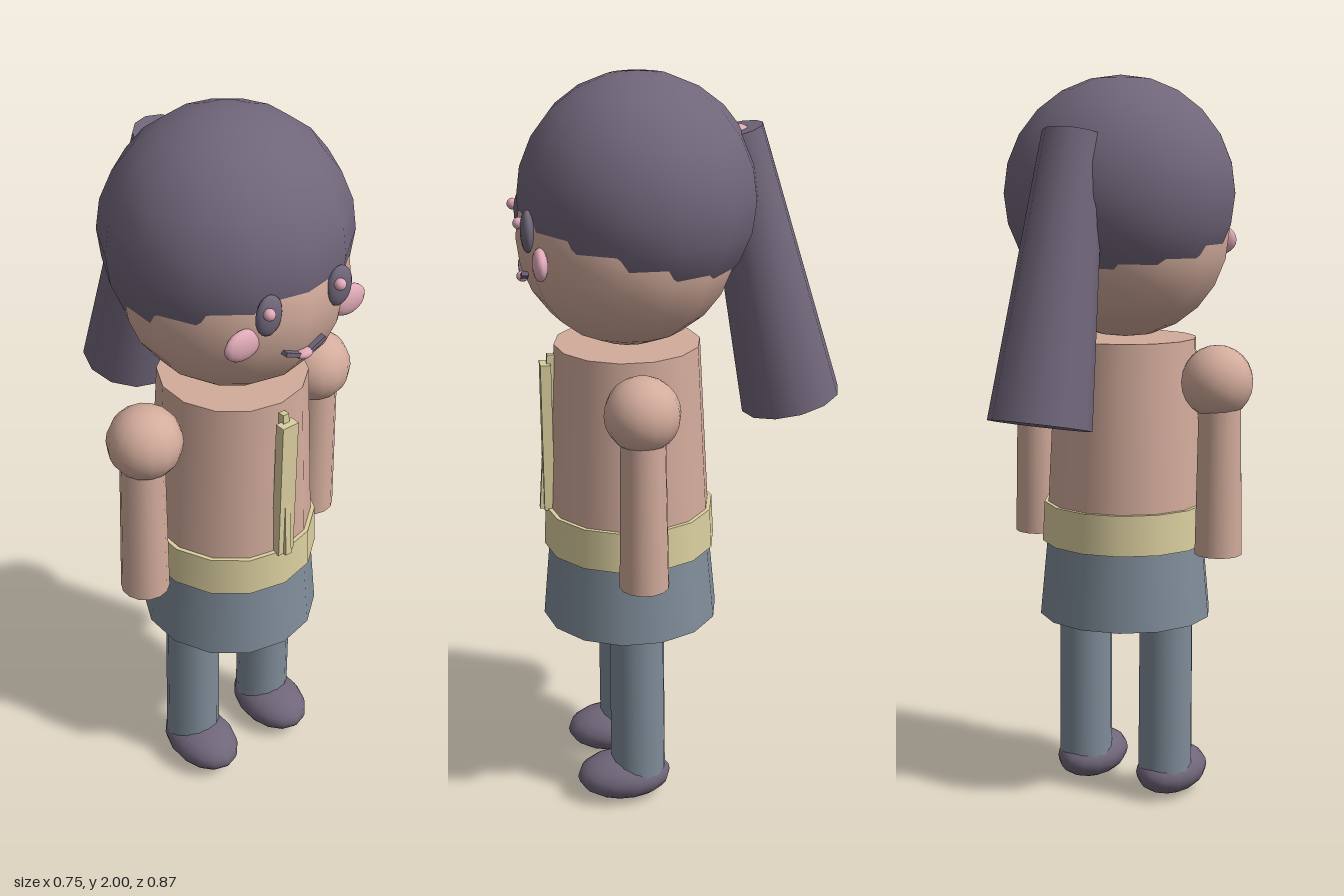
import * as THREE from 'three';

export function createModel() {
  const model = new THREE.Group();
  const mat = (name, color) => {
    const m = new THREE.MeshStandardMaterial({ color });
    m.name = name;
    return m;
  };
  const plum = mat('plum', 0x70667a);
  const skin = mat('skin', 0xd3ac9c);
  const slate = mat('slate', 0x7f8c99);
  const straw = mat('straw', 0xdbcf9f);
  const pink = mat('pink', 0xe0aab8);
  const SIDES = 14;

  const add = (name, geometry, material, x, y, z) => {
    const mesh = new THREE.Mesh(geometry, material);
    mesh.name = name;
    mesh.position.set(x, y, z);
    model.add(mesh);
    return mesh;
  };
  // ellipsoid with a vertex column facing the front
  const ball = (name, material, x, y, z, rx, ry = rx, rz = rx) => {
    const g = new THREE.SphereGeometry(1, SIDES, 12).rotateY(Math.PI / 2).scale(rx, ry, rz);
    return add(name, g, material, x, y, z);
  };
  // upright tapered cylinder between two heights
  const tube = (name, material, x, z, y0, y1, r0, r1) =>
    add(name, new THREE.CylinderGeometry(r1, r0, y1 - y0, SIDES), material, x, (y0 + y1) / 2, z);

  // Body
  const Z = 0.14;
  tube('torso', skin, 0, Z, 0.8, 1.3, 0.219, 0.194);
  tube('belt', straw, 0, Z, 0.735, 0.845, 0.233, 0.228);
  tube('skirt', slate, 0, Z, 0.525, 0.76, 0.24, 0.218);

  // Chest trim: upright strip and a thin cord following the chest
  add('chestStrip', new THREE.BoxGeometry(0.05, 0.41, 0.028), straw, 0, 1.045, 0.358);
  const cord = add('chestCord', new THREE.BoxGeometry(0.018, 0.435, 0.022), straw, 0, 1.057, 0.357);
  cord.rotation.x = -0.07;

  // Head and hair cap; the two spheres meet in a sloping hairline
  ball('head', skin, 0, 1.59, 0.135, 0.288);
  ball('hairCap', plum, 0, 1.69, 0.107, 0.316, 0.31, 0.311);

  // Ponytail
  const tail = add('ponytail', new THREE.CylinderGeometry(0.08, 0.135, 0.75, 12), plum, 0, 1.48, -0.219);
  tail.rotation.x = 0.224;
  ball('hairTie', pink, 0, 1.808, -0.15, 0.055, 0.052, 0.05);

  for (const s of [-1, 1]) {
    const side = s > 0 ? 'left' : 'right';

    // Arms
    ball(side + 'Shoulder', skin, s * 0.28, 1.195, Z, 0.098);
    tube(side + 'Arm', skin, s * 0.289, Z, 0.725, 1.19, 0.065, 0.057);

    // Legs
    tube(side + 'Leg', slate, s * 0.13, Z, 0.07, 0.6, 0.076, 0.074);
    ball(side + 'Shoe', plum, s * 0.13, 0.068, 0.18, 0.09, 0.064, 0.13);

    // Face
    ball(side + 'Eye', plum, s * 0.108, 1.63, 0.4, 0.038, 0.054, 0.018);
    ball(side + 'EyeGlint', pink, s * 0.108 - 0.015, 1.648, 0.42, 0.015);
    ball(side + 'Cheek', pink, s * 0.163, 1.558, 0.375, 0.053, 0.041, 0.02);
    const lip = add(side + 'MouthLine', new THREE.BoxGeometry(0.062, 0.011, 0.018), plum, s * 0.033, 1.497, 0.406);
    lip.rotation.z = s * 0.42;
  }
  ball('tongue', pink, 0, 1.487, 0.408, 0.024, 0.013, 0.016);

  return model;
}
